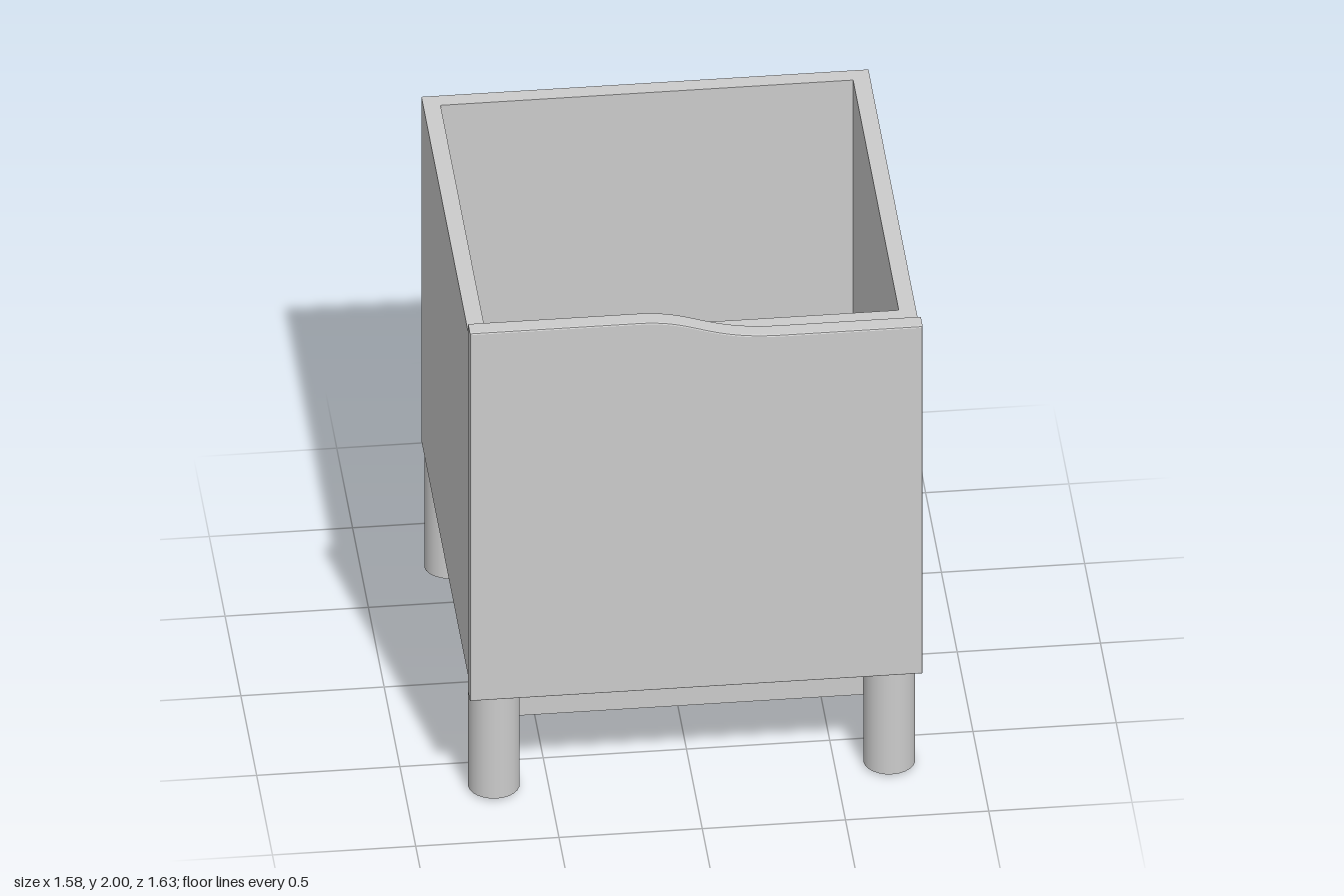
import * as THREE from 'three';

const material = new THREE.MeshStandardMaterial({ color: 0xcccccc });

function addMesh(group, name, geometry) {
  const mesh = new THREE.Mesh(geometry, material);
  mesh.name = name;
  group.add(mesh);
  return mesh;
}

// Rectangular ring in plan with walls of the given thickness, from y0 up to y1
function ring(halfX, zBack, zFront, wall, y0, y1) {
  const rect = (Type, hx, z0, z1) => {
    const path = new Type();
    path.moveTo(-hx, -z1);
    path.lineTo(hx, -z1);
    path.lineTo(hx, -z0);
    path.lineTo(-hx, -z0);
    path.closePath();
    return path;
  };
  const shape = rect(THREE.Shape, halfX, zBack, zFront);
  shape.holes.push(rect(THREE.Path, halfX - wall, zBack + wall, zFront - wall));
  const geometry = new THREE.ExtrudeGeometry(shape, { depth: y1 - y0, bevelEnabled: false });
  return geometry.rotateX(-Math.PI / 2).translate(0, y0, 0);
}

// Front panel with a wavy step in its top edge and softened edges
function frontPanelGeometry() {
  const bevel = 0.006;
  const hx = 0.79 - bevel;
  const high = 2 - bevel, low = 1.915 - bevel, bottom = 0.465 + bevel;
  const shape = new THREE.Shape();
  shape.moveTo(-hx, bottom);
  shape.lineTo(hx, bottom);
  shape.lineTo(hx, low);
  shape.lineTo(0.3, low);
  shape.bezierCurveTo(0.03, low, 0.0, high, -0.2, high);
  shape.lineTo(-hx, high);
  shape.closePath();
  const geometry = new THREE.ExtrudeGeometry(shape, {
    depth: 0.065 - 2 * bevel,
    bevelSize: bevel,
    bevelThickness: bevel,
    bevelSegments: 2,
    curveSegments: 20,
  });
  return geometry.translate(0, 0, 0.75 + bevel);
}

export function createModel() {
  const model = new THREE.Group();
  model.name = 'storageBox';

  // Open-topped box
  addMesh(model, 'boxWalls', ring(0.78, -0.815, 0.75, 0.06, 0.47, 1.905));
  const floor = addMesh(model, 'boxFloor', new THREE.BoxGeometry(1.45, 0.06, 1.45));
  floor.position.set(0, 0.5, -0.0325);

  addMesh(model, 'frontPanel', frontPanelGeometry());

  // Base frame under the box, joining the legs
  addMesh(model, 'baseFrame', ring(0.695, -0.725, 0.66, 0.09, 0.29, 0.47));

  // Round legs; one back foot is cut slightly askew
  for (const x of [-0.69, 0.69]) {
    for (const z of [-0.72, 0.66]) {
      const geometry = new THREE.CylinderGeometry(0.09, 0.09, 0.46, 24);
      if (x < 0 && z < 0) {
        const p = geometry.attributes.position;
        for (let i = 0; i < p.count; i++) {
          if (p.getY(i) < 0) p.setY(i, p.getY(i) - 0.01 * Math.min(1, Math.max(0, 0.5 - p.getZ(i) / 0.15)));
        }
      }
      const name = (z > 0 ? 'front' : 'back') + (x > 0 ? 'Left' : 'Right') + 'Leg';
      addMesh(model, name, geometry).position.set(x, 0.24, z);
    }
  }
  return model;
}
